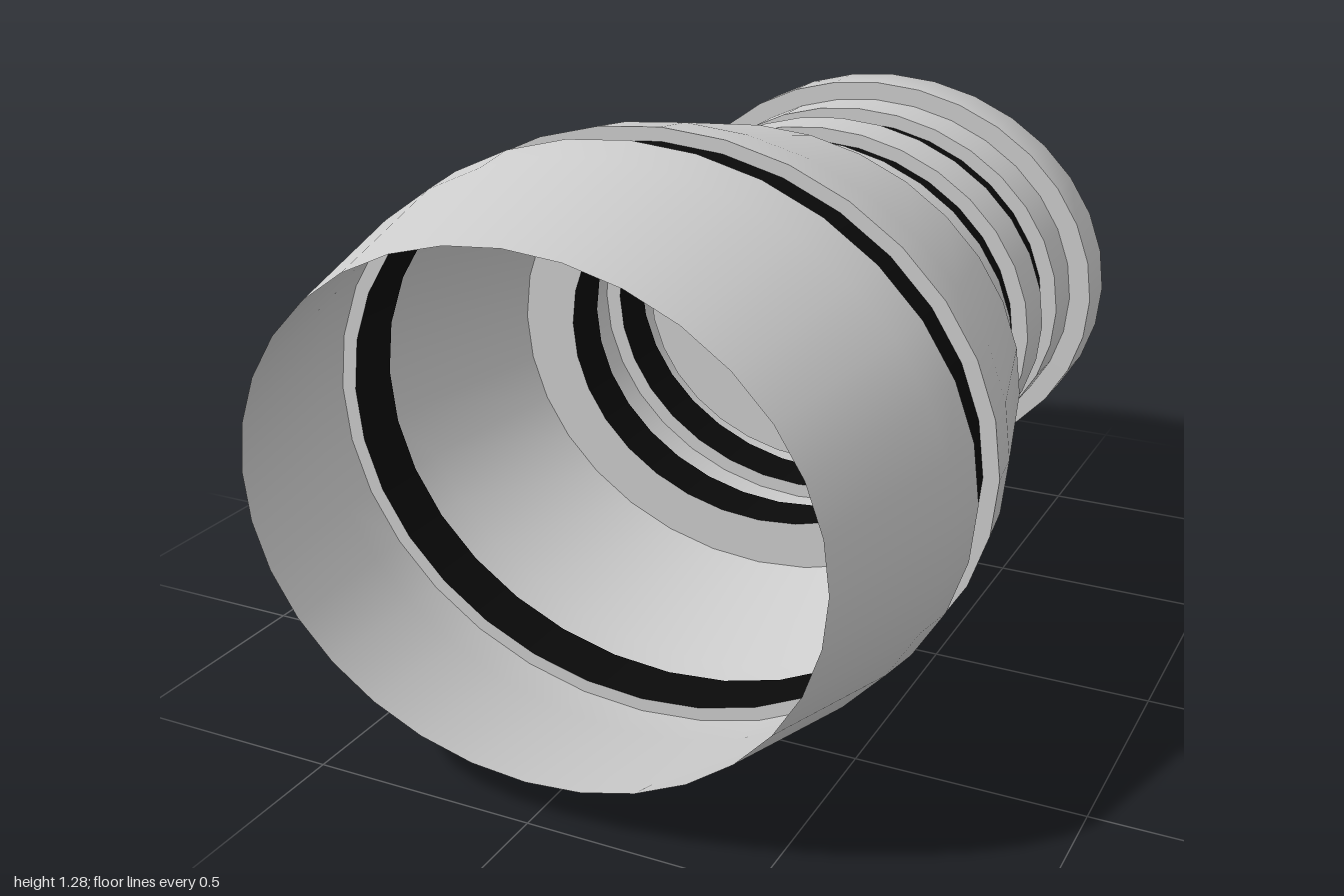
import * as THREE from 'three';

const SEGMENTS = 32;
const SQUASH = 0.856; // oval section: height relative to width
const CENTER_Y = 0.643;

export function createModel() {
  const model = new THREE.Group();
  model.name = 'ovalFitting';
  const grey = new THREE.MeshStandardMaterial({ color: 0xcccccc, side: THREE.DoubleSide });
  const black = new THREE.MeshStandardMaterial({ color: 0x0a0a0a, side: THREE.DoubleSide });

  // One smooth strip of the skin; points are [radius, z] running back to front
  function strip(parent, name, points, material = grey) {
    const geo = new THREE.LatheGeometry(points.map(([r, z]) => new THREE.Vector2(r, z)), SEGMENTS);
    geo.rotateX(Math.PI / 2).scale(1, SQUASH, 1).translate(0, CENTER_Y, 0);
    const mesh = new THREE.Mesh(geo, material);
    mesh.name = name;
    parent.add(mesh);
  }

  function part(name) {
    const group = new THREE.Group();
    group.name = name;
    model.add(group);
    return group;
  }

  // Blind bore opening at the back
  const bore = part('bore');
  strip(bore, 'boreFloor', [[0, -0.4], [0.455, -0.4]]);
  strip(bore, 'boreWall', [[0.455, -0.4], [0.41, -1]]);

  // Chamfered collar at the back end
  const collar = part('collar');
  strip(collar, 'collarEndFace', [[0.41, -1], [0.53, -1]]);
  strip(collar, 'collarRim', [[0.53, -1], [0.6, -0.93], [0.6, -0.81]]);
  strip(collar, 'collarShoulder', [[0.6, -0.81], [0.547, -0.81]]);

  // Neck: three raised ribs, each followed by a black groove
  const neck = part('neck');
  const RIB = 0.547, GROOVE = 0.508, PITCH = 0.24, HALF = 0.12;
  for (let i = 0; i < 3; i++) {
    const z = -0.81 + i * PITCH;
    if (i > 0) strip(neck, 'ribBackFace', [[GROOVE, z], [RIB, z]]);
    strip(neck, 'rib', [[RIB, z], [RIB, z + HALF]]);
    strip(neck, 'ribFrontFace', [[RIB, z + HALF], [GROOVE, z + HALF]]);
    strip(neck, 'groove', [[GROOVE, z + HALF], [GROOVE, z + PITCH]], black);
  }

  // Barrel-shaped sleeve with a black band, open at the front
  const sleeve = part('sleeve');
  strip(sleeve, 'sleeveShoulder', [[GROOVE, -0.09], [0.64, -0.09]]);
  strip(sleeve, 'rearSleeve', [[0.64, -0.09], [0.735, 0.28], [0.75, 0.39]]);
  strip(sleeve, 'bandRearStep', [[0.75, 0.39], [0.715, 0.39]]);
  strip(sleeve, 'band', [[0.715, 0.39], [0.715, 0.52]], black);
  strip(sleeve, 'bandFrontStep', [[0.715, 0.52], [0.75, 0.52]]);
  strip(sleeve, 'frontSleeve', [[0.75, 0.52], [0.735, 0.63], [0.64, 1]]);

  return model;
}
